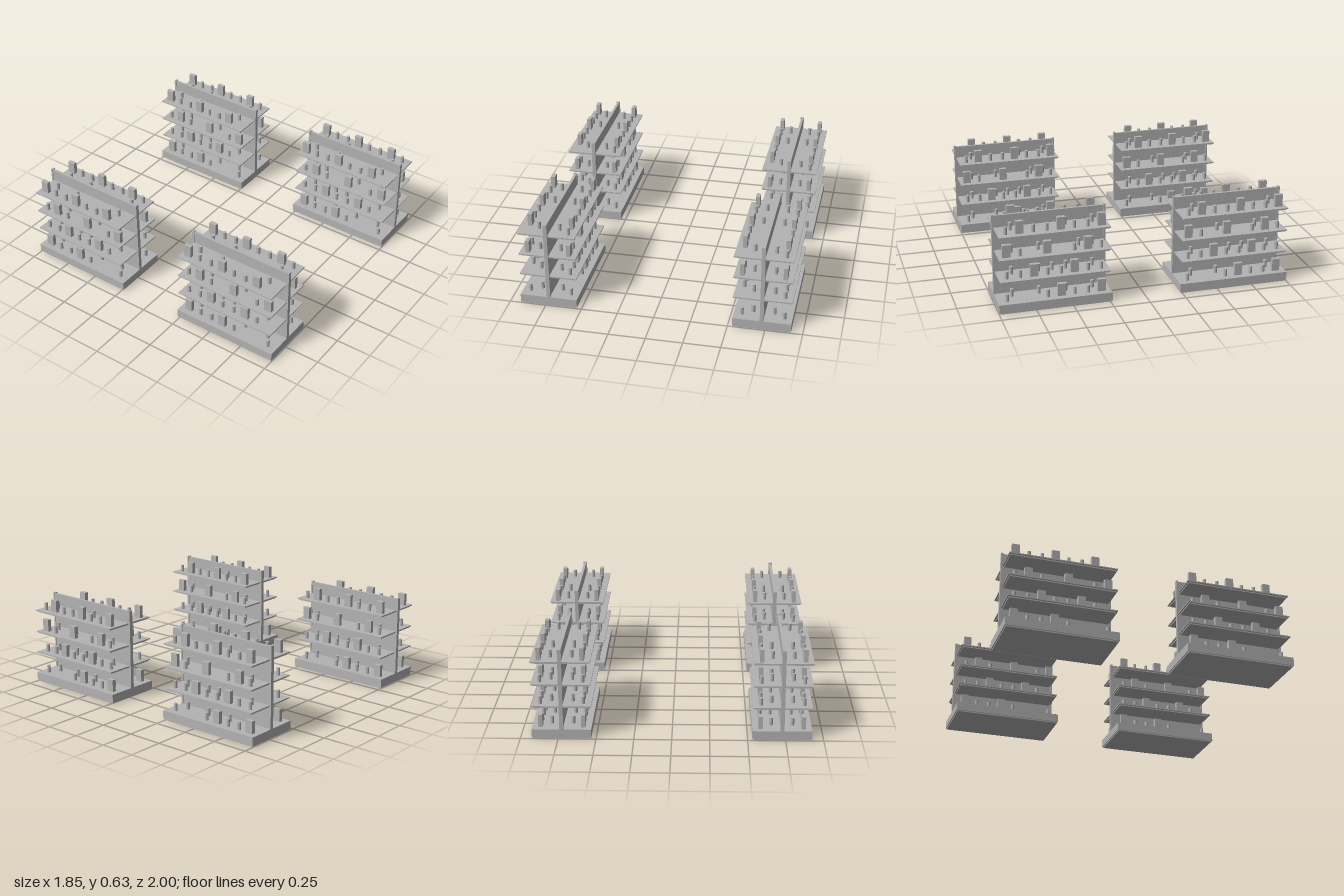
import * as THREE from 'three';

const grey = new THREE.MeshStandardMaterial({ color: 0xb3b3b3 });
grey.name = 'plain grey';

// Box standing on height y
function addBox(group, name, w, h, d, x, y, z) {
  const mesh = new THREE.Mesh(new THREE.BoxGeometry(w, h, d), grey);
  mesh.name = name;
  mesh.position.set(x, y + h / 2, z);
  group.add(mesh);
}

const canGeometry = new THREE.CylinderGeometry(0.0125, 0.0125, 0.052, 12);
function addCan(group, x, y, z) {
  const mesh = new THREE.Mesh(canGeometry, grey);
  mesh.name = 'can';
  mesh.position.set(x, y + 0.026, z);
  group.add(mesh);
}

// Stock per level: B = carton, c = can, . = empty.
// Outer slots run along the shelf edge, inner slots beside the panel.
const levels = [
  { y: 0.067, right: 'Bcc' + 'Bc..c', left: 'Bcc' + 'Bc..c', inner: 'c.c.c.c' },
  { y: 0.227, right: 'ccBccBcc', left: 'ccBccBc.', inner: 'c.ccc.c' },
  { y: 0.380, right: 'cBc.B.cB', left: 'cBc.B.cB', inner: 'cc..c.c' },
  { y: 0.537, right: 'BccBccBc', left: 'BccBccB.', inner: 'c.c...c' },
];

function addStock(group, row, x, y, start) {
  [...row].forEach((kind, k) => {
    const z = start + 0.0908 * k;
    if (kind === 'B') addBox(group, 'carton', 0.028, 0.086, 0.053, x, y, z);
    if (kind === 'c') addCan(group, x, y, z);
  });
}

function createShelfUnit() {
  const unit = new THREE.Group();
  unit.name = 'shelfUnit';

  // Base on a slightly recessed plinth
  addBox(unit, 'plinth', 0.38, 0.008, 0.75, 0, 0, 0);
  addBox(unit, 'base', 0.393, 0.059, 0.764, 0, 0.008, 0);

  // Central panel between two end posts
  addBox(unit, 'backPanel', 0.018, 0.553, 0.74, 0, 0.067, 0);
  for (const s of [-1, 1]) {
    addBox(unit, 'endPost', 0.026, 0.559, 0.014, 0, 0.067, s * 0.375);
  }

  levels.forEach((level, i) => {
    // Shelf: wide top sheet over a narrower stiffener
    if (i > 0) {
      addBox(unit, 'shelf', 0.393, 0.008, 0.74, 0, level.y - 0.008, 0);
      addBox(unit, 'shelfStiffener', 0.37, 0.008, 0.72, 0, level.y - 0.016, 0);
    }
    addStock(unit, level.left, -0.142, level.y, -0.318);
    addStock(unit, level.right, 0.142, level.y, -0.318);
    for (const s of [-1, 1]) addStock(unit, level.inner, s * 0.071, level.y, -0.272);
  });
  return unit;
}

export function createModel() {
  const model = new THREE.Group();
  model.name = 'storeShelves';
  const unit = createShelfUnit();
  for (const sx of [-1, 1]) {
    for (const sz of [-1, 1]) {
      const copy = unit.clone();
      copy.position.set(sx * 0.727, 0, sz * 0.618);
      model.add(copy);
    }
  }
  return model;
}
